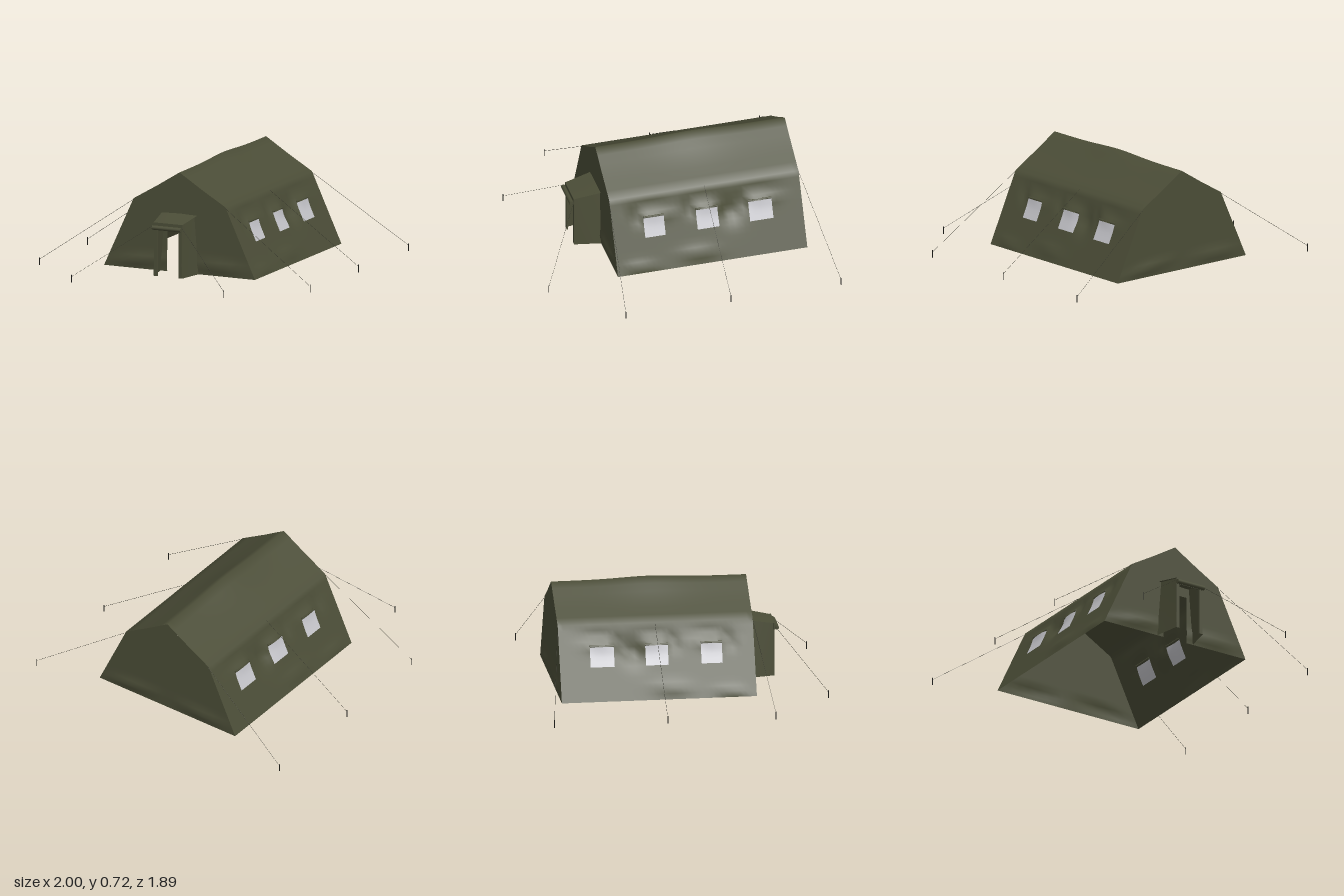
import * as THREE from 'three';

const mat = (name, color, side = THREE.FrontSide) => {
  const m = new THREE.MeshStandardMaterial({ color, side });
  m.name = name;
  return m;
};

const FRONT = 0.465, BACK = -0.835, BASE = 0.03, RIDGE = 0.705;
const WINDOWS = [[0.11, 0.25], [-0.26, -0.11], [-0.63, -0.47]];
const WIN_LOW = 0.24, WIN_HIGH = 0.36;
const PROFILE = [[0.03, 0.555], [0.5, 0.338], [0.605, 0.16], [RIDGE, 0]];

// half width of the tent at height y
function halfWidth(y) {
  for (let i = 1; i < PROFILE.length; i++) {
    const [y0, x0] = PROFILE[i - 1], [y1, x1] = PROFILE[i];
    if (y <= y1) return x0 + (x1 - x0) * (y - y0) / (y1 - y0);
  }
  return 0;
}

const bump = (a, b, ra, rb) => Math.exp(-((a / ra) ** 2) - (b / rb) ** 2);

// grid of fn(u, v) points, keeping only the cells that pass the test
function sheet(us, vs, fn, keep = () => true) {
  const pos = [], idx = [], n = vs.length;
  for (const u of us) for (const v of vs) pos.push(...fn(u, v));
  for (let i = 0; i < us.length - 1; i++) {
    for (let j = 0; j < n - 1; j++) {
      if (!keep((us[i] + us[i + 1]) / 2, (vs[j] + vs[j + 1]) / 2)) continue;
      const a = i * n + j, b = a + n;
      idx.push(a, b, b + 1, a, b + 1, a + 1);
    }
  }
  const g = new THREE.BufferGeometry();
  g.setAttribute('position', new THREE.Float32BufferAttribute(pos, 3));
  g.setIndex(idx);
  g.computeVertexNormals();
  return g;
}

// evenly spaced values that also contain every given break
function steps(breaks, size) {
  const out = [breaks[0]];
  for (let i = 1; i < breaks.length; i++) {
    const a = breaks[i - 1], b = breaks[i], n = Math.ceil(Math.abs(b - a) / size - 1e-6);
    for (let k = 1; k <= n; k++) out.push(a + (b - a) * k / n);
  }
  return out;
}

// canvas point: v runs over the ridge from right to left, z along the tent
function canvasPoint(z, v) {
  const s = Math.sign(v);
  let y = RIDGE - Math.abs(v);
  let x = halfWidth(y);
  const ends = Math.min(1, Math.min(FRONT - z, z - BACK) / 0.1);
  let d = -0.03 * bump(z + 0.34, y - 0.33, 0.07, 0.07);
  for (const [a, b] of WINDOWS) {
    const c = (a + b) / 2;
    d += 0.012 * bump(z - c, y - 0.37, 0.1, 0.035);
    d -= 0.018 * bump(z - c - 0.12, y - 0.37, 0.03, 0.04);
    d -= 0.012 * bump(z - c, y - 0.42, 0.14, 0.025);
  }
  d += 0.012 * bump(z + 0.1, y - 0.1, 0.12, 0.03) + 0.012 * bump(z - 0.3, y - 0.07, 0.1, 0.02);
  x += d * ends;
  y += 0.015 * bump(x, z + 0.19, 0.12, 0.25) + d * ends * 0.4;
  return [s * x, y, z];
}

// gable point: u from -1 to 1 across, with straight door edges at |u| = 0.25
function gablePoint(u, y, z0, dir) {
  const w = halfWidth(y), d = Math.min(0.09, 0.3 * w), a = Math.abs(u);
  const x = a <= 0.25 ? (a / 0.25) * d : d + ((a - 0.25) / 0.75) * (w - d);
  const inner = 1 - a ** 4;
  const fold = 0.02 * bump(a - 0.65, y - 0.11 + 0.03 * a, 0.35, 0.03) * inner;
  return [Math.sign(u) * x, y, z0 + dir * fold];
}

export function createModel() {
  const olive = mat('olive canvas', 0x4b4d37, THREE.DoubleSide);
  const pane = mat('pale window', 0xc6c6cb, THREE.DoubleSide);
  const dark = mat('dark stake', 0x1e1e1a);
  const cord = mat('rope', 0x34342a);

  const tent = new THREE.Group();
  tent.name = 'tent';
  const add = (name, geo, m, parent = tent) => {
    const mesh = new THREE.Mesh(geo, m);
    mesh.name = name;
    parent.add(mesh);
    return mesh;
  };
  const rod = (name, a, b, r, m, sides = 6) => {
    const p = new THREE.Vector3(...a), q = new THREE.Vector3(...b);
    const mesh = add(name, new THREE.CylinderGeometry(r, r, p.distanceTo(q), sides), m);
    mesh.position.copy(p).add(q).multiplyScalar(0.5);
    mesh.quaternion.setFromUnitVectors(new THREE.Vector3(0, 1, 0), q.sub(p).normalize());
  };

  // roof and side walls, with window openings filled by panes
  const zs = steps([FRONT, ...WINDOWS.flatMap(([a, b]) => [b, a]), BACK], 0.04);
  const half = steps([0, RIDGE - 0.605, RIDGE - 0.5, RIDGE - WIN_HIGH, RIDGE - WIN_LOW, RIDGE - BASE], 0.035);
  const vs = [...half.slice(1).reverse().map(v => -v), ...half];
  const inWindow = (z, v) => {
    const y = RIDGE - Math.abs(v);
    return y > WIN_LOW && y < WIN_HIGH && WINDOWS.some(([a, b]) => z > a && z < b);
  };
  add('roofAndWalls', sheet(zs, vs, canvasPoint, (z, v) => !inWindow(z, v)), olive);
  add('windowPanes', sheet(zs, vs, canvasPoint, inWindow), pane);

  // rolled flap above each window
  for (const s of [-1, 1]) {
    for (const [a, b] of WINDOWS) {
      rod('windowFlap', canvasPoint(a, s * (RIDGE - 0.367)), canvasPoint(b, s * (RIDGE - 0.367)), 0.007, olive);
    }
  }

  // gables, the front one with a doorway
  const us = steps([-1, -0.25, 0, 0.25, 1], 0.125);
  const ys = steps([BASE, 0.36, 0.5, 0.605, RIDGE], 0.03);
  add('frontGable', sheet(us, ys, (u, y) => gablePoint(u, y, FRONT, 1),
    (u, y) => Math.abs(u) > 0.25 || y > 0.36), olive);
  add('backGable', sheet([...us].reverse(), ys, (u, y) => gablePoint(u, y, BACK, -1)), olive);

  // porch: side walls, roof, door posts, lintel and rolled door
  const PZ = 0.64;
  const porchX = (t, y) => 0.14 - 0.035 * t - 0.03 * (y - BASE) / 0.38 * (1 - 0.6 * t);
  const porchTop = t => 0.425 - 0.035 * t;
  for (const s of [-1, 1]) {
    add('porchWall', sheet([0, 0.5, 1], [0, 0.5, 1], (t, k) => {
      const y = BASE + (porchTop(t) - BASE) * k;
      return [s * porchX(t, y), y, FRONT + (PZ - FRONT) * t];
    }), olive);
    const post = add('doorPost', new THREE.BoxGeometry(0.024, 0.35, 0.008), olive);
    post.position.set(s * 0.09, BASE + 0.175, PZ - 0.004);
  }
  add('porchRoof', sheet([0, 0.5, 1], [-1, 0, 1], (t, k) =>
    [k * (0.13 - 0.025 * t), porchTop(t) + 0.004 * (1 - k * k), FRONT - 0.005 + (PZ + 0.005 - FRONT) * t]), olive);
  add('porchLintel', new THREE.BoxGeometry(0.21, 0.045, 0.008), olive).position.set(0, 0.37, PZ);
  rod('rolledDoor', [-0.105, 0.36, 0.656], [0.105, 0.36, 0.656], 0.015, olive, 12);

  // guy ropes and stakes
  for (const s of [-1, 1]) {
    const lines = [
      [[0.335, 0.495, FRONT], [0.997, 0.04, 0.535]],
      [[0.338, 0.5, -0.187], [0.997, 0.04, -0.187]],
      [[0.335, 0.495, BACK], [0.997, 0.04, -0.942]],
      [[0.1, 0.375, PZ], [0.56, 0.04, 0.942]],
    ];
    for (const [[x0, y0, z0], [x1, y1, z1]] of lines) {
      rod('guyRope', [s * x0, y0, z0], [s * x1, y1, z1], 0.001, cord, 4);
      rod('stake', [s * x1, 0, z1], [s * x1, 0.052, z1], 0.003, dark);
    }
  }
  return tent;
}
